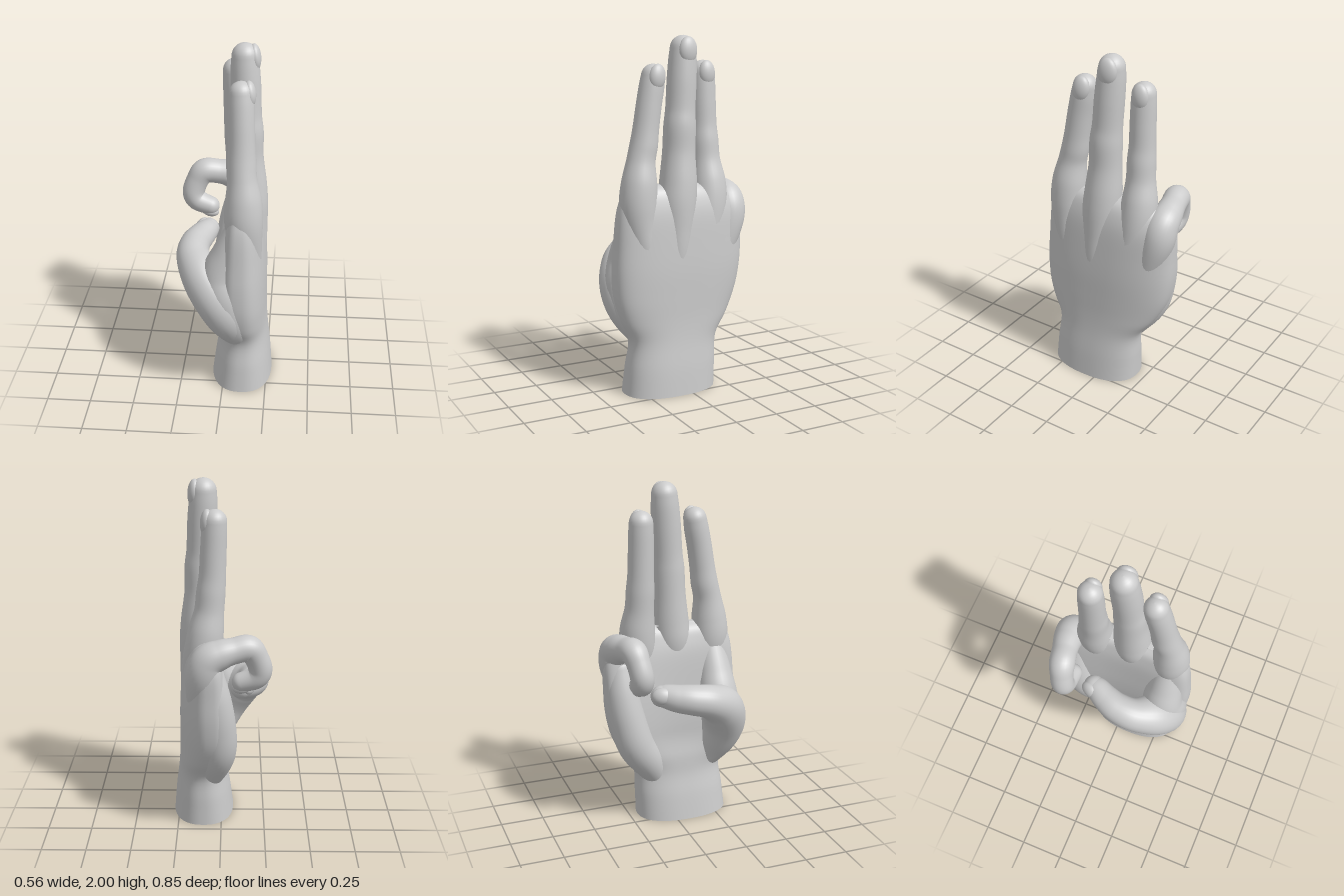
import * as THREE from 'three';

const material = new THREE.MeshStandardMaterial({ color: 0xcccccc, side: THREE.DoubleSide });

// Smooth interpolation through rows of numbers
function spline(rows, steps) {
  const out = [];
  const last = rows.length - 1;
  for (let i = 0; i < last; i++) {
    const a = rows[Math.max(i - 1, 0)], b = rows[i], c = rows[i + 1], d = rows[Math.min(i + 2, last)];
    for (let s = 0; s < steps; s++) {
      const t = s / steps;
      out.push(b.map((v, k) => v + 0.5 * t * (c[k] - a[k]
        + t * (2 * a[k] - 5 * v + 4 * c[k] - d[k] + t * (3 * (v - c[k]) + d[k] - a[k])))));
    }
  }
  out.push(rows[last]);
  return out;
}

// Skin over a list of rings, with an optional flat cap on the first ring
function loft(name, rings, capStart = false) {
  const n = rings[0].length;
  const verts = rings.flat();
  const index = [];
  for (let r = 0; r < rings.length - 1; r++) {
    for (let i = 0; i < n; i++) {
      const a = r * n + i, b = r * n + (i + 1) % n;
      index.push(a, b, b + n, a, b + n, a + n);
    }
  }
  if (capStart) {
    const base = verts.length;
    const centre = rings[0].reduce((s, p) => s.add(p), new THREE.Vector3()).divideScalar(n);
    verts.push(...rings[0], centre);
    for (let i = 0; i < n; i++) index.push(base + n, base + (i + 1) % n, base + i);
  }
  const geometry = new THREE.BufferGeometry().setFromPoints(verts);
  geometry.setIndex(index);
  geometry.computeVertexNormals();
  const mesh = new THREE.Mesh(geometry, material);
  mesh.name = name;
  return mesh;
}

// Finger or muscle: rows of x, y, z, radius, ending in a rounded tip
function limb(name, rows) {
  const path = spline(rows, 8);
  const points = path.map(p => new THREE.Vector3(p[0], p[1], p[2]));
  const rings = [];
  const normal = new THREE.Vector3(0.3, 0.1, 1);
  const tangent = new THREE.Vector3();
  const addRing = (centre, radius) => {
    const side = new THREE.Vector3().crossVectors(tangent, normal);
    const ring = [];
    for (let i = 0; i < 28; i++) {
      const a = i / 28 * Math.PI * 2;
      ring.push(centre.clone().addScaledVector(normal, radius * Math.cos(a))
        .addScaledVector(side, radius * Math.sin(a)));
    }
    rings.push(ring);
  };
  points.forEach((p, i) => {
    tangent.subVectors(points[Math.min(i + 1, points.length - 1)], points[Math.max(i - 1, 0)]).normalize();
    normal.addScaledVector(tangent, -normal.dot(tangent)).normalize();
    addRing(p, path[i][3]);
  });
  const end = points[points.length - 1], r = path[path.length - 1][3];
  for (let k = 1; k <= 8; k++) {
    const a = k / 8 * Math.PI / 2;
    addRing(end.clone().addScaledVector(tangent, r * Math.sin(a)), Math.max(r * Math.cos(a), 1e-4));
  }
  return loft(name, rings);
}

// Nail: shallow curved shell emerging from a fingertip of the given radius
function nail(name, centre, outward, along, radius, width = 0.05, length = 0.072) {
  const out = new THREE.Vector3(...outward).normalize();
  const up = new THREE.Vector3(...along);
  up.addScaledVector(out, -up.dot(out)).normalize();
  const mesh = new THREE.Mesh(new THREE.SphereGeometry(1, 24, 16), material);
  mesh.name = name;
  mesh.quaternion.setFromRotationMatrix(
    new THREE.Matrix4().makeBasis(out, up, new THREE.Vector3().crossVectors(out, up)));
  mesh.scale.set(0.035, length, width);
  mesh.position.set(...centre).addScaledVector(out, radius - 0.03);
  return mesh;
}

// Wrist and palm: rows of height, thumb edge z, outer edge z, palm x, back x
function palm() {
  const rows = spline([
    [0, 0.35, -0.2, -0.07, 0.28], [0.15, 0.335, -0.205, -0.05, 0.268], [0.3, 0.318, -0.215, -0.025, 0.25],
    [0.42, 0.37, -0.3, -0.04, 0.242], [0.55, 0.4, -0.365, -0.055, 0.24], [0.7, 0.405, -0.397, -0.055, 0.238],
    [0.85, 0.395, -0.405, -0.045, 0.23], [1.0, 0.383, -0.405, -0.03, 0.218], [1.09, 0.365, -0.365, -0.01, 0.2],
    [1.15, 0.335, -0.3, 0.015, 0.175], [1.18, 0.25, -0.2, 0.06, 0.14], [1.185, 0.05, 0, 0.09, 0.11],
  ], 5);
  const rings = rows.map(([y, z1, z0, x0, x1]) => {
    const ring = [];
    const hand = THREE.MathUtils.smoothstep(y, 0.3, 0.55);
    const soft = v => Math.sign(v) * Math.abs(v) ** (0.85 - 0.12 * hand);
    for (let i = 0; i < 72; i++) {
      const a = i / 72 * Math.PI * 2;
      const u = soft(Math.cos(a)), v = soft(Math.sin(a));
      const z = (z0 + z1) / 2 + u * (z1 - z0) / 2;
      let x = (x0 + x1) / 2 + v * (x1 - x0) / 2;
      // Outer edge curls forward and the palm is hollow
      if (u < 0) x -= 0.035 * hand * u * u;
      if (v < 0) x -= 0.05 * hand * v * (1 - u * u);
      ring.push(new THREE.Vector3(x, y, z));
    }
    return ring;
  });
  return loft('palmAndWrist', rings, true);
}

export function createModel() {
  const group = new THREE.Group();
  group.name = 'hand';
  group.add(palm());

  // Three straight fingers, each rising out of a tendon on the back of the hand
  group.add(limb('indexFinger', [
    [0.14, 0.5, 0.17, 0.03], [0.145, 0.75, 0.22, 0.065], [0.125, 0.95, 0.255, 0.092], [0.114, 1.08, 0.262, 0.106],
    [0.112, 1.2, 0.255, 0.1], [0.104, 1.32, 0.24, 0.081], [0.1, 1.41, 0.22, 0.078], [0.098, 1.5, 0.206, 0.073],
    [0.095, 1.62, 0.187, 0.071], [0.092, 1.72, 0.168, 0.07], [0.09, 1.782, 0.157, 0.066],
  ]));
  group.add(limb('middleFinger', [
    [0.16, 0.5, 0.06, 0.03], [0.165, 0.75, 0.05, 0.067], [0.143, 0.95, 0.037, 0.095], [0.128, 1.08, 0.03, 0.11],
    [0.123, 1.2, 0.02, 0.106], [0.115, 1.36, 0.012, 0.093], [0.115, 1.5, 0.007, 0.091], [0.11, 1.6, 0, 0.084],
    [0.105, 1.75, -0.01, 0.083], [0.1, 1.86, -0.018, 0.079], [0.098, 1.927, -0.022, 0.073],
  ]));
  group.add(limb('ringFinger', [
    [0.15, 0.5, -0.07, 0.03], [0.152, 0.75, -0.12, 0.067], [0.12, 0.95, -0.17, 0.093], [0.1, 1.07, -0.188, 0.104],
    [0.084, 1.18, -0.192, 0.1], [0.065, 1.3, -0.186, 0.083], [0.055, 1.41, -0.183, 0.08], [0.047, 1.5, -0.182, 0.074],
    [0.042, 1.62, -0.181, 0.072], [0.037, 1.73, -0.181, 0.07], [0.034, 1.792, -0.181, 0.067],
  ]));

  // Little finger curled over to meet the thumb
  group.add(limb('littleFinger', [
    [0.12, 0.5, -0.17, 0.03], [0.115, 0.75, -0.25, 0.07], [0.1, 0.95, -0.315, 0.094], [0.07, 1.055, -0.328, 0.094],
    [0.0, 1.095, -0.325, 0.083], [-0.07, 1.112, -0.312, 0.073], [-0.15, 1.12, -0.293, 0.074],
    [-0.193, 1.065, -0.28, 0.067], [-0.216, 0.99, -0.268, 0.066], [-0.19, 0.94, -0.262, 0.063],
    [-0.115, 0.912, -0.253, 0.055],
  ]));

  // Thumb folded across the palm
  group.add(limb('thumb', [
    [0.11, 0.24, 0.17, 0.05], [0.05, 0.43, 0.27, 0.112], [-0.025, 0.58, 0.3, 0.127], [-0.11, 0.71, 0.25, 0.124],
    [-0.176, 0.78, 0.15, 0.098], [-0.18, 0.805, 0.05, 0.088], [-0.155, 0.815, -0.03, 0.08],
    [-0.125, 0.825, -0.09, 0.07], [-0.113, 0.828, -0.12, 0.062],
  ]));

  // Fleshy masses: web behind the thumb, and heel below the little finger
  group.add(limb('thumbWeb', [
    [0.11, 0.22, 0.17, 0.05], [0.07, 0.42, 0.265, 0.108], [0.015, 0.6, 0.29, 0.125], [-0.005, 0.74, 0.27, 0.118],
    [0.04, 0.88, 0.265, 0.1], [0.09, 1.02, 0.26, 0.08],
  ]));
  group.add(limb('palmHeel', [
    [0.08, 0.2, -0.06, 0.05], [0.045, 0.36, -0.15, 0.095], [0.02, 0.5, -0.235, 0.108], [0.02, 0.66, -0.28, 0.104],
    [0.035, 0.82, -0.305, 0.094], [0.06, 0.96, -0.31, 0.08],
  ]));

  // Nails
  group.add(
    nail('indexNail', [0.091, 1.775, 0.159], [1, 0.06, -0.12], [0, 1, -0.18], 0.073),
    nail('middleNail', [0.1, 1.915, -0.021], [1, 0.06, -0.1], [0, 1, -0.07], 0.08, 0.056, 0.076),
    nail('ringNail', [0.035, 1.785, -0.181], [1, 0.06, -0.05], [0, 1, 0], 0.073),
    nail('littleNail', [-0.11, 0.91, -0.253], [-0.25, -1, 0.1], [1, -0.3, 0.1], 0.06, 0.043, 0.055),
    nail('thumbNail', [-0.118, 0.828, -0.115], [-0.9, 0.35, -0.35], [0.4, 0, -1], 0.068, 0.048, 0.06),
  );
  return group;
}
